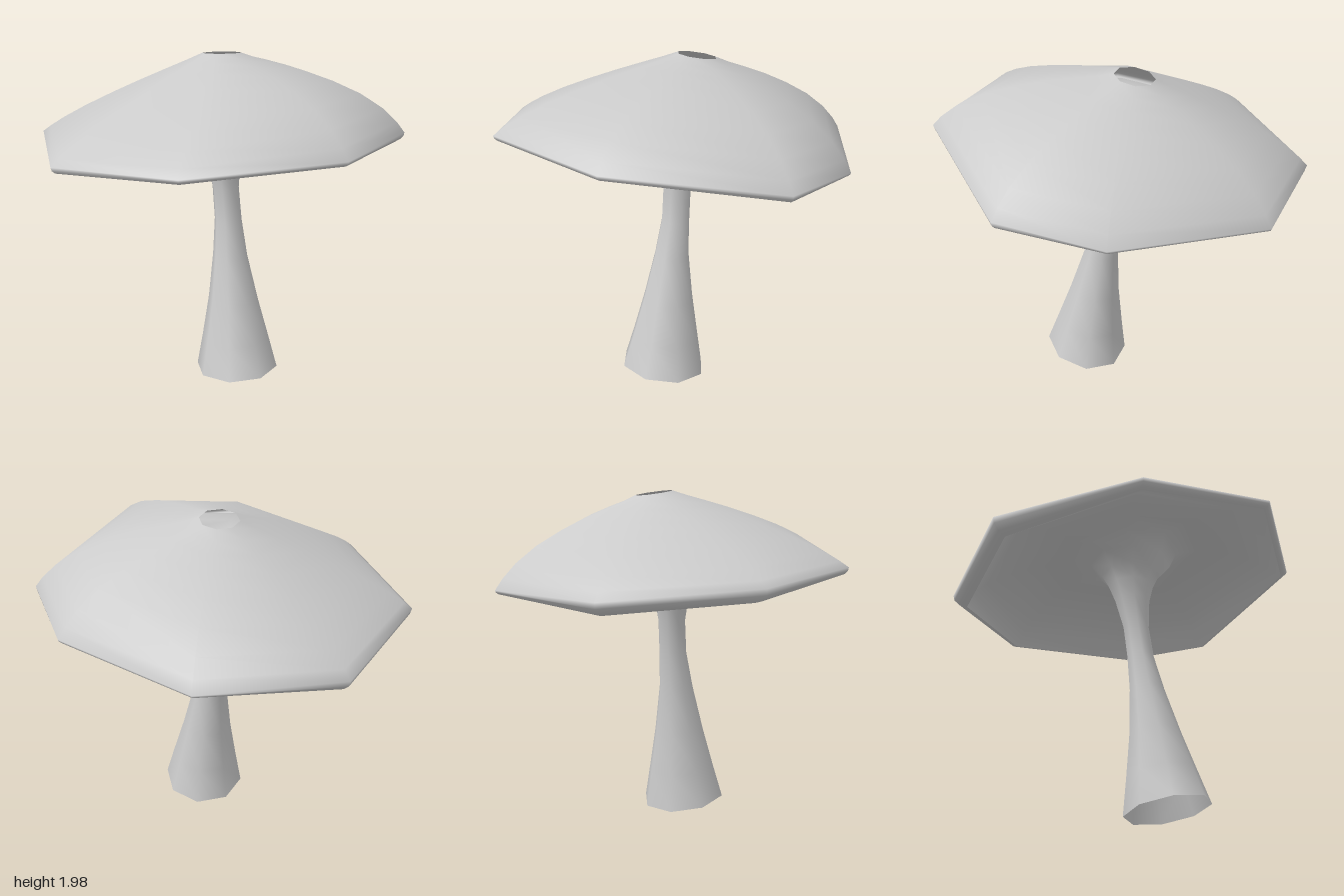
import * as THREE from 'three';

const SIDES = 8;
const material = new THREE.MeshStandardMaterial({ color: 0xcccccc, side: THREE.DoubleSide });

// Rim corners of the tilted cap, x y z, starting at the left front and going round by the front
const RIM = [
  [1.0, 1.66, 0.37], [0.43, 1.645, 0.98], [-0.38, 1.535, 0.98], [-1.0, 1.455, 0.4],
  [-0.98, 1.39, -0.44], [-0.4, 1.415, -0.99], [0.47, 1.46, -0.92], [0.93, 1.53, -0.56],
].map((p) => new THREE.Vector3(...p));

// Per corner: swell of the cap above a straight line, and the inset and drop of the lip
const SWELL = [1.25, 0.6, 0.45, 0.4, 0.7, 1.2, 1.35, 1.3];
const LIP_INSET = [0.04, 0.04, 0.05, 0.1, 0.1, 0.05, 0.04, 0.04];
const LIP_DROP = [0.035, 0.035, 0.045, 0.075, 0.072, 0.025, 0.025, 0.045];

// Eight points from a rule that gets the corner index, its cosine and its sine
function makeRing(rule) {
  return Array.from({ length: SIDES }, (_, k) => {
    const a = ((k + 0.5) * 2 * Math.PI) / SIDES;
    return rule(k, Math.cos(a), Math.sin(a));
  });
}

// Skin a list of rings with smooth normals
function skin(name, rings) {
  const index = [];
  for (let i = 0; i < rings.length - 1; i++) {
    for (let k = 0; k < SIDES; k++) {
      const a = i * SIDES + k;
      const b = i * SIDES + ((k + 1) % SIDES);
      index.push(a, b, a + SIDES, b, b + SIDES, a + SIDES);
    }
  }
  const geometry = new THREE.BufferGeometry().setFromPoints(rings.flat());
  geometry.setIndex(index);
  geometry.computeVertexNormals();
  const mesh = new THREE.Mesh(geometry, material);
  mesh.name = name;
  return mesh;
}

// Small opening at the crown
const OPENING = makeRing((k, c, s) =>
  new THREE.Vector3(-0.03 + 0.114 * c, 1.962 + 0.016 * s + 0.012 * c, -0.1 + 0.113 * s));

// Ring between the opening (t = 0) and the rim (t = 1), raised by a bulge and lowered by a depth
const capRing = (t, bulge, depth = 0) => makeRing((k) => {
  const p = OPENING[k].clone().lerp(RIM[k], t);
  p.y += bulge * SWELL[k] - depth;
  return p;
});

// Rolled lip: share of the full inset and of the full drop
const lipRing = (inset, drop) => makeRing((k) => {
  const p = OPENING[k].clone().lerp(RIM[k], 1 - inset * LIP_INSET[k]);
  p.y = RIM[k].y - drop * LIP_DROP[k];
  return p;
});

export function createModel() {
  const group = new THREE.Group();
  group.name = 'mushroom';

  // Cap top, then the lip rolled under
  const cap = [
    [0, 0], [0.1, 0.012], [0.22, 0.033], [0.38, 0.057], [0.55, 0.073],
    [0.72, 0.077], [0.86, 0.06], [0.95, 0.03], [1, 0],
  ].map(([t, bulge]) => capRing(t, bulge));
  cap.push(lipRing(0.1, 0.45), lipRing(0.45, 0.85), lipRing(1, 1));
  group.add(skin('cap', cap));

  // Hollow underside that follows the cap and flows into the stem
  const lower = [
    lipRing(1, 1),
    capRing(0.87, 0.058, 0.085),
    capRing(0.77, 0.073, 0.075),
    capRing(0.6, 0.075, 0.085),
    capRing(0.43, 0.062, 0.11),
    capRing(0.29, 0.045, 0.16),
  ];
  // Stem sections: height, x from/to, z from/to, tilt
  const stem = [
    [1.64, -0.2, 0.27, -0.24, 0.24, 0],
    [1.56, -0.13, 0.2, -0.17, 0.17, 0],
    [1.48, -0.09, 0.165, -0.13, 0.145, 0],
    [1.38, -0.05, 0.145, -0.1, 0.115, 0],
    [1.2, 0, 0.142, -0.068, 0.092, 0],
    [1.0, 0.022, 0.17, -0.06, 0.102, 0],
    [0.78, 0.03, 0.222, -0.056, 0.144, 0.02],
    [0.5, 0.025, 0.305, -0.08, 0.212, 0.05],
    [0.25, 0.005, 0.385, -0.112, 0.28, 0.09],
    [0.041, -0.015, 0.45, -0.14, 0.34, 0.12],
  ];
  const fit = Math.cos(Math.PI / SIDES);
  for (const [y, x0, x1, z0, z1, tilt] of stem) {
    lower.push(makeRing((k, c, s) => {
      const dx = (c * (x1 - x0)) / 2 / fit;
      const dz = (s * (z1 - z0)) / 2 / fit;
      return new THREE.Vector3((x0 + x1) / 2 + dx, y + tilt * (dx + dz), (z0 + z1) / 2 + dz);
    }));
  }
  group.add(skin('undersideAndStem', lower));

  return group;
}
